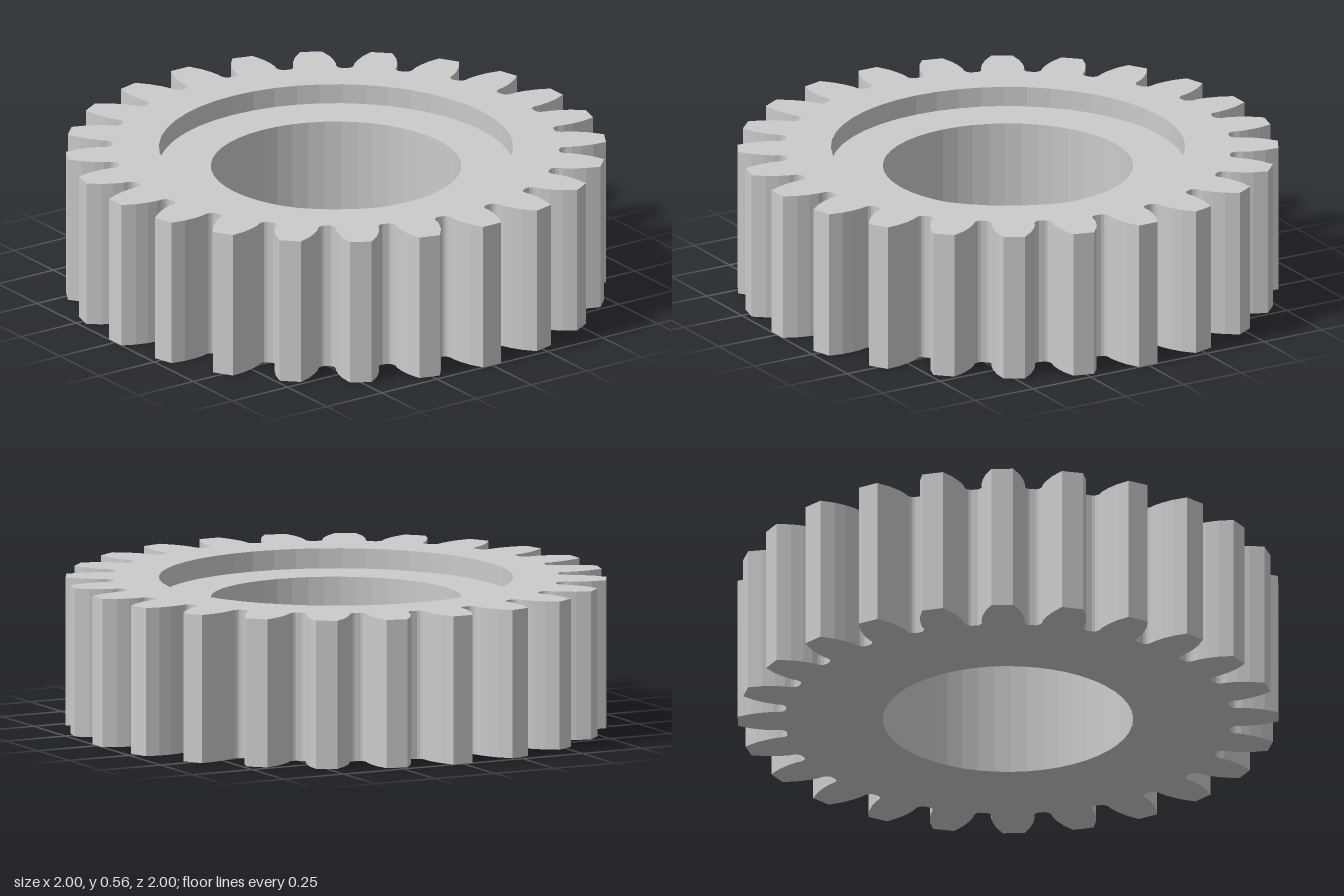
import * as THREE from 'three';

const TEETH = 24, HEIGHT = 0.555, FLOOR = 0.48, BORE = 0.463, RECESS = 0.655, SEGMENTS = 48;
const STEP = (Math.PI * 2) / TEETH;
const rad = THREE.MathUtils.degToRad;

// Half a tooth from tip to root as [angle, radius]: flank points, then the root fillet.
function halfTooth() {
  const flank = [[0.04, 0.999], [0.063, 0.95], [0.075, 0.905], [0.08, 0.868]]
    .map(([w, r]) => [Math.atan2(w, r), Math.hypot(w, r)]);
  const fillet = [[2.2, 0.851], [1.95, 0.839], [1.45, 0.83], [0.8, 0.826]]
    .map(([off, r]) => [STEP / 2 - rad(off), r]);
  return [...flank, ...fillet];
}

// Counter-clockwise outline of the toothed rim.
function gearOutline() {
  const half = halfTooth();
  const tooth = [...half.map(([a, r]) => [-a, r]).reverse(), ...half];
  const points = [];
  for (let i = 0; i < TEETH; i++) {
    for (const [a, r] of tooth) {
      const t = i * STEP + a;
      points.push(new THREE.Vector2(r * Math.cos(t), r * Math.sin(t)));
    }
  }
  return points;
}

function circlePoints(radius) {
  return Array.from({ length: SEGMENTS }, (_, i) => {
    const t = (i / SEGMENTS) * Math.PI * 2;
    return new THREE.Vector2(radius * Math.cos(t), radius * Math.sin(t));
  });
}

// Flat toothed face with a round opening.
function faceGeometry(outline, opening, tilt, y) {
  const shape = new THREE.Shape(outline);
  shape.holes.push(new THREE.Path(circlePoints(opening).reverse()));
  return new THREE.ShapeGeometry(shape).rotateX(tilt).translate(0, y, 0);
}

// Upright wall that follows the outline.
function wallGeometry(outline) {
  const positions = [];
  outline.forEach((a, i) => {
    const b = outline[(i + 1) % outline.length];
    const a0 = [a.x, 0, -a.y], b0 = [b.x, 0, -b.y];
    const a1 = [a.x, HEIGHT, -a.y], b1 = [b.x, HEIGHT, -b.y];
    positions.push(...a0, ...b0, ...b1, ...a0, ...b1, ...a1);
  });
  const geometry = new THREE.BufferGeometry();
  geometry.setAttribute('position', new THREE.Float32BufferAttribute(positions, 3));
  geometry.computeVertexNormals();
  return geometry;
}

export function createModel() {
  const group = new THREE.Group();
  group.name = 'spurGear';
  const material = new THREE.MeshStandardMaterial({ color: 0xcccccc, flatShading: true });
  const add = (name, geometry) => {
    const mesh = new THREE.Mesh(geometry, material);
    mesh.name = name;
    group.add(mesh);
  };

  const outline = gearOutline();
  add('teeth', wallGeometry(outline));
  add('topFace', faceGeometry(outline, RECESS, -Math.PI / 2, HEIGHT));
  add('bottomFace', faceGeometry(outline, BORE, Math.PI / 2, 0));

  // Recess wall, recess floor and bore, turned from one stepped profile.
  const profile = [[RECESS, HEIGHT], [RECESS, FLOOR], [BORE, FLOOR], [BORE, 0]]
    .map(([x, y]) => new THREE.Vector2(x, y));
  add('recessAndBore', new THREE.LatheGeometry(profile, SEGMENTS));

  return group;
}
